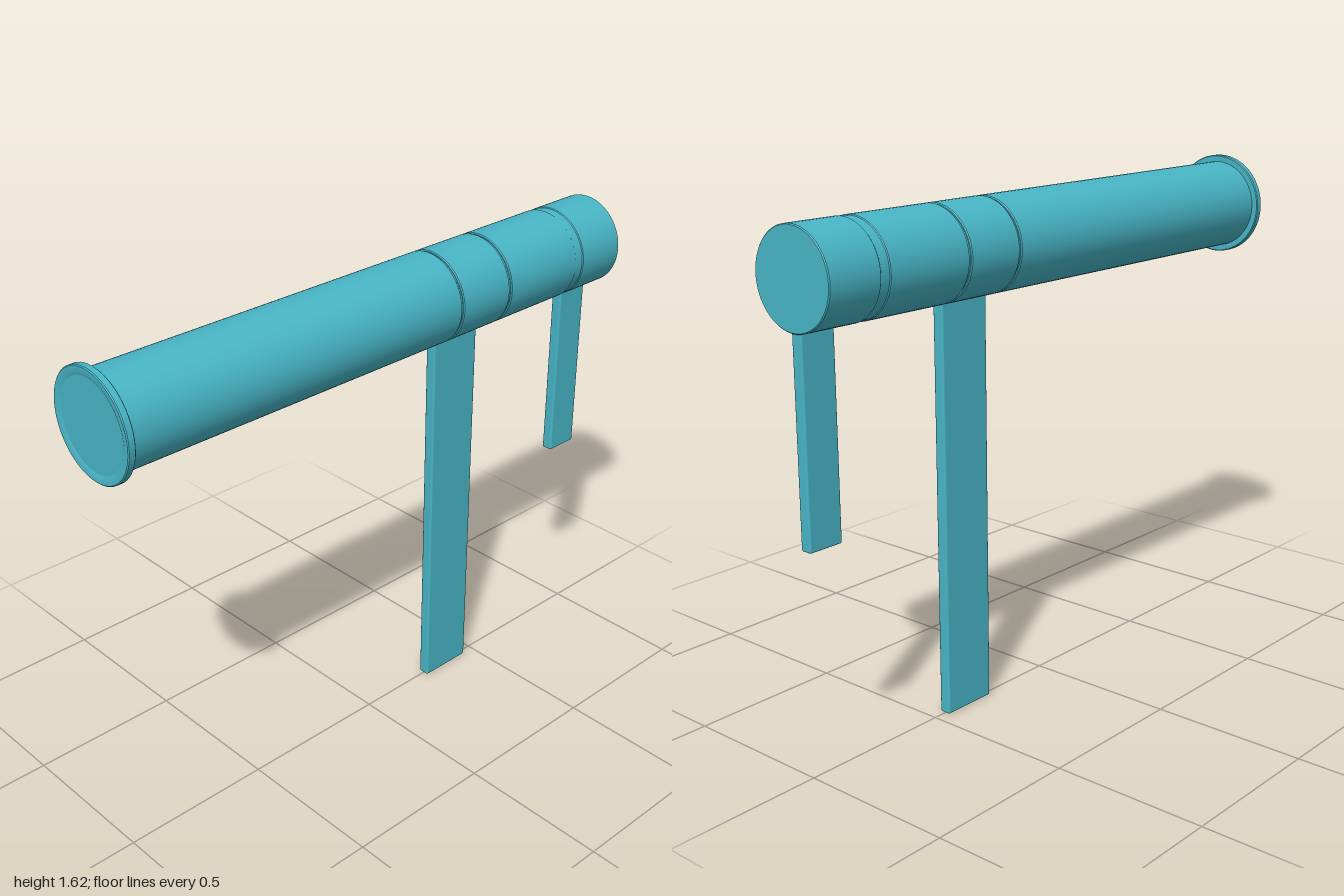
import * as THREE from 'three';
import { toCreasedNormals } from 'three/addons/utils/BufferGeometryUtils.js';
import { RoundedBoxGeometry } from 'three/addons/geometries/RoundedBoxGeometry.js';

const AXIS_Y = 1.447;
const R = 0.147;

export function createModel() {
  const group = new THREE.Group();
  const teal = new THREE.MeshStandardMaterial({ color: 0x48b5c6 });
  teal.name = 'teal';

  const add = (name, geometry, x, y) => {
    const mesh = new THREE.Mesh(geometry, teal);
    mesh.name = name;
    mesh.position.set(x, y, 0);
    group.add(mesh);
  };

  // Turned part lying along x, from [radius, x] pairs
  const turned = (name, profile) => {
    const points = profile.map(([r, x]) => new THREE.Vector2(r, x));
    const geometry = new THREE.LatheGeometry(points, 64).rotateZ(-Math.PI / 2);
    add(name, toCreasedNormals(geometry, 0.5), 0, AXIS_Y);
  };

  // Closed cylinder section with finely chamfered ends
  const section = (name, x0, x1, r = R) => {
    const c = 0.003;
    turned(name, [[0, x0], [r - c, x0], [r, x0 + c], [r, x1 - c], [r - c, x1], [0, x1]]);
  };

  // Main tube sections separated by narrow grooves
  section('longBarrel', -0.995, 0.251);
  section('innerCore', 0.24, 0.79, 0.141);
  section('middleCollar', 0.258, 0.464);
  section('rearBarrel', 0.472, 0.783);
  section('recessedBand', 0.78, 0.818, 0.1445);
  section('endCap', 0.815, 1);

  // Raised rim at the far end
  turned('endFlange', [
    [0.14, -0.996], [0.15, -1], [0.166, -1], [0.169, -0.997],
    [0.169, -0.978], [0.166, -0.975], [0.14, -0.975],
  ]);

  // Flat blades hanging below the tube
  const blade = (name, x0, x1, bottom) => {
    const top = 1.32;
    const geometry = new RoundedBoxGeometry(x1 - x0, top - bottom, 0.038, 2, 0.006);
    add(name, geometry, (x0 + x1) / 2, (top + bottom) / 2);
  };
  blade('longBlade', 0.267, 0.456, 0);
  blade('shortBlade', 0.873, 0.992, 0.685);

  return group;
}
